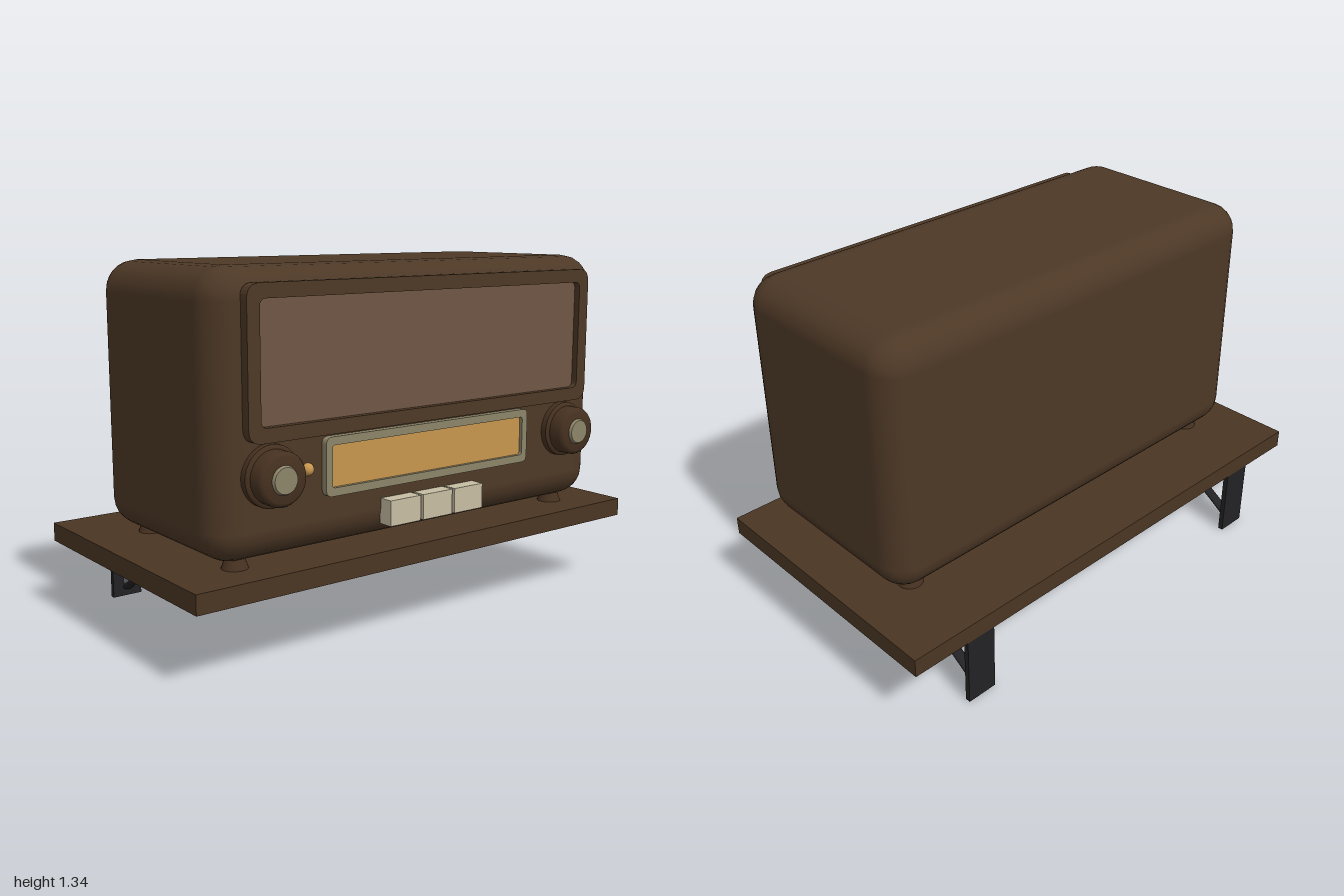
import * as THREE from 'three';
import { RoundedBoxGeometry } from 'three/addons/geometries/RoundedBoxGeometry.js';
import { toCreasedNormals } from 'three/addons/utils/BufferGeometryUtils.js';

const mat = (name, color) => {
  const m = new THREE.MeshStandardMaterial({ color });
  m.name = name;
  return m;
};

// Rounded rectangle centred on the origin
function roundRect(w, h, r, target = new THREE.Shape()) {
  const x = w / 2, y = h / 2;
  target.moveTo(-x + r, -y);
  target.lineTo(x - r, -y);
  target.quadraticCurveTo(x, -y, x, -y + r);
  target.lineTo(x, y - r);
  target.quadraticCurveTo(x, y, x - r, y);
  target.lineTo(-x + r, y);
  target.quadraticCurveTo(-x, y, -x, y - r);
  target.lineTo(-x, -y + r);
  target.quadraticCurveTo(-x, -y, -x + r, -y);
  return target;
}

// Rounded frame with a rounded opening
function frameGeometry(w, h, r, holeW, holeH, holeR, depth) {
  const shape = roundRect(w, h, r);
  shape.holes.push(roundRect(holeW, holeH, holeR, new THREE.Path()));
  return new THREE.ExtrudeGeometry(shape, { depth, bevelEnabled: false, curveSegments: 6 });
}

export function createModel() {
  const model = new THREE.Group();
  const wood = mat('cabinet brown', 0x4d3826);
  const shelfWood = mat('shelf brown', 0x4a3522);
  const knobBrown = mat('knob brown', 0x463120);
  const cloth = mat('grille cloth', 0x705644);
  const amber = mat('amber dial', 0xc8954e);
  const brass = mat('dull brass', 0x8d8569);
  const ivory = mat('ivory', 0xc6bda2);
  const iron = mat('black iron', 0x222224);
  const steel = mat('screw steel', 0x55565a);

  const add = (name, geometry, material, x = 0, y = 0, z = 0, parent = model) => {
    const mesh = new THREE.Mesh(geometry, material);
    mesh.name = name;
    mesh.position.set(x, y, z);
    parent.add(mesh);
    return mesh;
  };

  // Shelf and cabinet
  add('shelf', new THREE.BoxGeometry(2, 0.07, 1.065), shelfWood, 0, 0.305, -0.0225);
  add('cabinet', new RoundedBoxGeometry(1.78, 0.965, 0.8, 3, 0.11), wood, 0, 0.8525, 0.055);

  // Speaker grille
  add('grilleFrame', frameGeometry(1.57, 0.508, 0.05, 1.474, 0.409, 0.025, 0.04), wood, 0, 1.03, 0.45);
  add('grilleCloth', new THREE.BoxGeometry(1.49, 0.425, 0.009), cloth, 0, 1.03, 0.461);

  // Tuning dial
  add('dialFrame', frameGeometry(0.952, 0.204, 0.025, 0.9, 0.146, 0.012, 0.03), brass, 0, 0.663, 0.45);
  add('dialGlass', new THREE.BoxGeometry(0.91, 0.155, 0.009), amber, 0, 0.661, 0.462);

  // Indicator lamp
  add('indicatorLamp', new THREE.SphereGeometry(0.022, 16, 12), amber, -0.537, 0.663, 0.458);

  // Push buttons
  for (const i of [-1, 0, 1]) {
    add('pushButton', new THREE.BoxGeometry(0.138, 0.092, 0.06), ivory, i * 0.15 - 0.003, 0.471, 0.48);
  }

  // Knobs: flange, grip and metal cap
  const knobProfile = [
    [0.106, 0], [0.106, 0.026], [0.1, 0.032], [0.092, 0.034],
    [0.092, 0.08], [0.086, 0.09], [0.076, 0.094], [0, 0.094],
  ].map(([r, y]) => new THREE.Vector2(r, y));
  const knobGeo = toCreasedNormals(new THREE.LatheGeometry(knobProfile, 32), 0.7);
  const capGeo = new THREE.CylinderGeometry(0.044, 0.05, 0.012, 24);
  for (const side of [-1, 1]) {
    const knob = new THREE.Group();
    knob.name = side > 0 ? 'leftKnob' : 'rightKnob';
    knob.position.set(side * 0.689, 0.663, 0.452);
    knob.rotation.x = Math.PI / 2;
    add('knobGrip', knobGeo, knobBrown, 0, 0, 0, knob);
    add('knobCap', capGeo, brass, 0, 0.098, 0, knob);
    model.add(knob);
  }

  // Feet
  const footGeo = new THREE.CylinderGeometry(0.03, 0.047, 0.045, 20);
  for (const x of [-0.757, 0.757]) {
    for (const z of [0.347, -0.232]) add('foot', footGeo, knobBrown, x, 0.3625, z);
  }

  // Wall brackets with a curved brace
  const braceCurve = new THREE.CatmullRomCurve3([
    [0.237, 0.065], [0.227, -0.1], [0.2, -0.225], [0.14, -0.365], [0.087, -0.455], [0.037, -0.528],
  ].map(([y, z]) => new THREE.Vector3(0, y, z)));
  const braceGeo = new THREE.TubeGeometry(braceCurve, 20, 0.0115, 10);
  braceGeo.scale(1.9, 1, 1);
  const braceMat = mat('brace iron', 0x222224);
  braceMat.side = THREE.DoubleSide;
  const screwGeo = new THREE.SphereGeometry(0.018, 14, 10);
  screwGeo.scale(1, 1, 0.7);
  for (const side of [-1, 1]) {
    const bracket = new THREE.Group();
    bracket.name = side > 0 ? 'leftBracket' : 'rightBracket';
    bracket.position.x = side * 0.714;
    add('bracketArm', new THREE.BoxGeometry(0.12, 0.02, 0.955), iron, 0, 0.26, -0.0775, bracket);
    add('bracketPlate', new THREE.BoxGeometry(0.12, 0.27, 0.02), iron, 0, 0.135, -0.545, bracket);
    add('bracketBrace', braceGeo, braceMat, 0, 0, 0, bracket);
    for (const y of [0.06, 0.2]) add('bracketScrew', screwGeo, steel, 0, y, -0.535, bracket);
    model.add(bracket);
  }

  return model;
}
